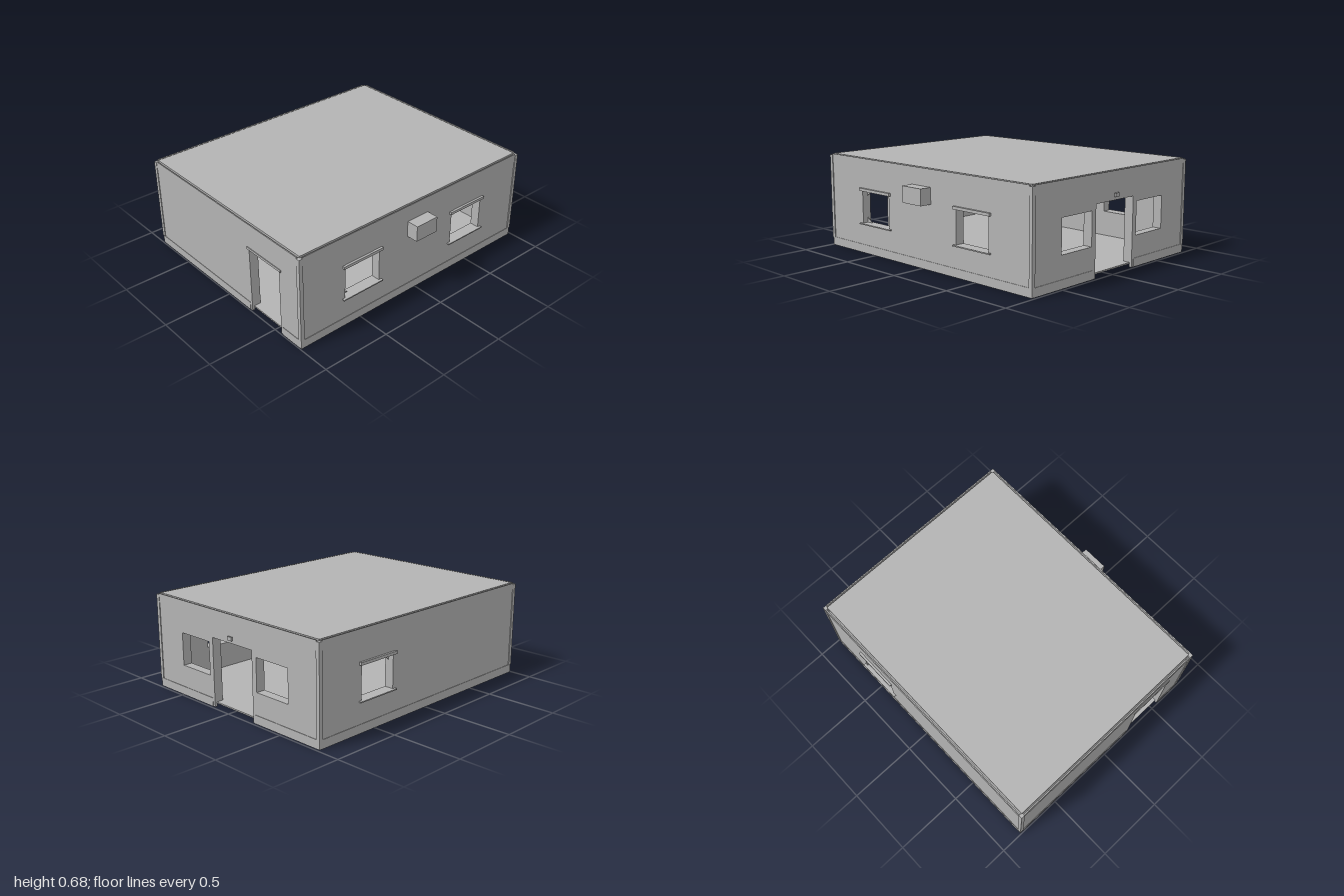
import * as THREE from 'three';

const concrete = new THREE.MeshStandardMaterial({ color: 0xb3b3b3 });
concrete.name = 'concreteGrey';

// Openings as [u0, u1, y0, y1]; u is x on front and back, -z on the sides.
const WIN_Y = [0.215, 0.447];
const frontDoor = [0.25, 0.555, 0, 0.48];
const backDoor = [-0.23, 0.16, 0, 0.485];
const backWindows = [[-0.56, -0.27, ...WIN_Y], [0.2, 0.49, ...WIN_Y]];
const rearSideWindow = [0.33, 0.62, ...WIN_Y];
const frontSideWindow = [-0.63, -0.34, ...WIN_Y];

// plane: inner-wall outer face; out: outward sign; ends: run of the wall along u
const SIDES = [
  { name: 'front', side: false, out: 1, plane: 0.975, ends: [-0.815, 0.74], door: frontDoor, windows: [] },
  { name: 'back', side: false, out: -1, plane: -0.965, ends: [-0.815, 0.74], door: backDoor, windows: backWindows },
  { name: 'left', side: true, out: 1, plane: 0.74, ends: [-0.975, 0.965], windows: [rearSideWindow, frontSideWindow], trim: true },
  { name: 'right', side: true, out: -1, plane: -0.815, ends: [-0.975, 0.965], windows: [rearSideWindow], trim: true },
];

function rect(path, [u0, u1, y0, y1]) {
  path.moveTo(u0, y0);
  path.lineTo(u1, y0);
  path.lineTo(u1, y1);
  path.lineTo(u0, y1);
  path.closePath();
  return path;
}

export function createModel() {
  const model = new THREE.Group();
  model.name = 'building';

  function add(parent, name, geometry) {
    const mesh = new THREE.Mesh(geometry, concrete);
    mesh.name = name;
    parent.add(mesh);
    return mesh;
  }

  function box(parent, name, x0, x1, y0, y1, z0, z1) {
    const mesh = add(parent, name, new THREE.BoxGeometry(x1 - x0, y1 - y0, z1 - z0));
    mesh.position.set((x0 + x1) / 2, (y0 + y1) / 2, (z0 + z1) / 2);
    return mesh;
  }

  // Each side is built in a frame whose local z is measured along its normal axis.
  for (const s of SIDES) {
    const group = new THREE.Group();
    group.name = s.name + 'Side';
    if (s.side) group.rotation.y = Math.PI / 2;
    model.add(group);

    // Turns distances outward from the wall face into an ordered local z range
    const span = (a, b) => [s.plane + s.out * a, s.plane + s.out * b].sort((p, q) => p - q);

    function slab(name, shape, a, b) {
      const [z0, z1] = span(a, b);
      const mesh = add(group, name, new THREE.ExtrudeGeometry(shape, { depth: z1 - z0, bevelEnabled: false }));
      mesh.position.z = z0;
    }
    function strip(name, u0, u1, y0, y1, a, b) {
      box(group, name, u0, u1, y0, y1, ...span(a, b));
    }

    // Wall outline with a doorway notch and window holes
    function wallShape(u0, u1, y0, y1) {
      const shape = new THREE.Shape();
      shape.moveTo(u0, y0);
      if (s.door) {
        const [d0, d1, , top] = s.door;
        shape.lineTo(d0, y0);
        shape.lineTo(d0, top);
        shape.lineTo(d1, top);
        shape.lineTo(d1, y0);
      }
      shape.lineTo(u1, y0);
      shape.lineTo(u1, y1);
      shape.lineTo(u0, y1);
      shape.closePath();
      for (const w of s.windows) shape.holes.push(rect(new THREE.Path(), w));
      return shape;
    }

    // Inner wall and the thin cladding standing off from it
    const [e0, e1] = s.ends;
    const inset = s.side ? 0 : 0.05;
    slab('innerWall', wallShape(e0 + inset, e1 - inset, 0.03, 0.64), -0.05, 0);
    slab('cladding', wallShape(e0 + 0.005, e1 - 0.005, 0, 0.676), 0.01, 0.016);

    // Fascia band and plinth, the plinth broken at the doorway
    strip('fascia', e0 + 0.005, e1 - 0.005, 0.615, 0.678, 0.0155, 0.019);
    const runs = s.door
      ? [[e0, s.door[0] - 0.02], [s.door[1] + 0.02, e1]]
      : [[e0, e1]];
    for (const [a, b] of runs) strip('plinth', a, b, 0, 0.06, 0.0155, 0.019);

    // Linings that close the gap around the openings
    for (const w of s.windows) {
      const [u0, u1, y0, y1] = w;
      const ring = rect(new THREE.Shape(), [u0 - 0.006, u1 + 0.006, y0 - 0.006, y1 + 0.006]);
      ring.holes.push(rect(new THREE.Path(), w));
      slab('windowLining', ring, -0.002, 0.012);
      if (s.trim) {
        strip('windowLintel', u0 - 0.02, u1 + 0.02, y1, y1 + 0.02, 0.012, 0.032);
        strip('windowSill', u0 - 0.022, u1 + 0.022, y0 - 0.008, y0, -0.01, 0.034);
      }
    }
    if (s.door) {
      const [d0, d1, , top] = s.door;
      strip('doorJamb', d0 - 0.006, d0, 0, top, -0.002, 0.014);
      strip('doorJamb', d1, d1 + 0.006, 0, top, -0.002, 0.014);
      strip('doorHead', d0 - 0.006, d1 + 0.006, top, top + 0.006, -0.002, 0.014);
      if (s.name === 'front') strip('doorLintel', d0 - 0.02, d1 + 0.02, top + 0.003, top + 0.02, 0.012, 0.021);
    }

    // Broken glass left in the corners of some side windows
    function shard(u, y, du, dy) {
      const shape = new THREE.Shape();
      shape.moveTo(u, y);
      shape.lineTo(u + du, y);
      shape.lineTo(u, y + dy);
      shape.closePath();
      slab('glassShard', shape, -0.027, -0.024);
    }
    if (s.name === 'left') {
      const [u0, u1, y0, y1] = frontSideWindow;
      shard(u0, y1, 0.06, -0.04);
      shard(u1, y1, -0.065, -0.018);
      shard(u0, y0, 0.055, 0.035);
    }
    if (s.name === 'right') {
      const [u0, u1, , y1] = rearSideWindow;
      shard(u0, y1, 0.055, -0.045);
      shard(u1, y1, -0.045, -0.028);
    }
  }

  // Floor and roof slabs
  box(model, 'floor', -0.815, 0.74, 0.022, 0.032, -0.965, 0.975);
  box(model, 'roof', -0.815, 0.74, 0.64, 0.68, -0.965, 0.975);

  // Corner posts
  for (const [x0, x1] of [[-0.836, -0.808], [0.734, 0.762]])
    for (const [z0, z1] of [[-0.986, -0.96], [0.968, 0.996]]) {
      box(model, 'cornerPost', x0, x1, 0.06, 0.67, z0, z1);
      box(model, 'cornerFoot', x0 + 0.003, x1 - 0.003, 0, 0.06, z0 + 0.003, z1 - 0.003);
    }

  // Air conditioner on the left wall
  box(model, 'airConditioner', 0.75, 0.842, 0.445, 0.558, -0.092, 0.092);

  // Small lamp over the back door
  box(model, 'lampBracket', -0.04, -0.03, 0.515, 0.525, -0.992, -0.978);
  box(model, 'lampHead', -0.055, -0.018, 0.508, 0.534, -1.0, -0.988);

  return model;
}
